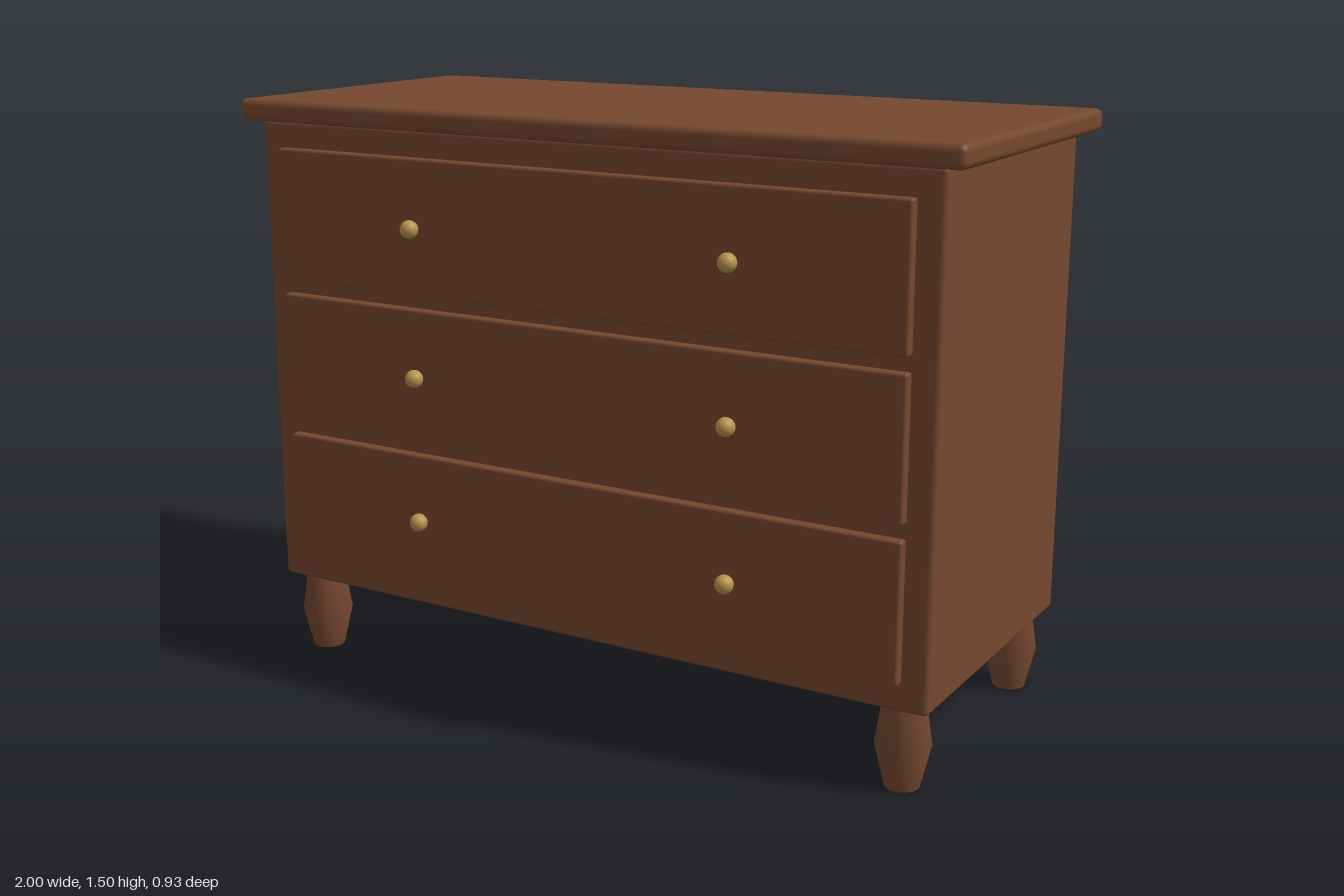
import * as THREE from 'three';
import { RoundedBoxGeometry } from 'three/addons/geometries/RoundedBoxGeometry.js';

export function createModel() {
  const model = new THREE.Group();
  model.name = 'chestOfDrawers';

  const wood = new THREE.MeshStandardMaterial({ color: 0x75482f });
  wood.name = 'brown wood';
  const brass = new THREE.MeshStandardMaterial({ color: 0xb5924c });
  brass.name = 'brass';

  const add = (name, geometry, material, x, y, z) => {
    const mesh = new THREE.Mesh(geometry, material);
    mesh.name = name;
    mesh.position.set(x, y, z);
    model.add(mesh);
  };

  // Box with softened edges, placed by its lower and upper limits
  const roundedBox = (name, halfWidth, y0, y1, z0, z1, radius) =>
    add(name, new RoundedBoxGeometry(halfWidth * 2, y1 - y0, z1 - z0, 3, radius),
      wood, 0, (y0 + y1) / 2, (z0 + z1) / 2);

  // Case and overhanging top
  roundedBox('case', 0.948, 0.21, 1.452, -0.43, 0.4, 0.012);
  roundedBox('top', 1, 1.448, 1.505, -0.465, 0.432, 0.018);

  // Three drawer fronts, each with two round knobs
  const knob = new THREE.SphereGeometry(0.023, 24, 16);
  for (let i = 0; i < 3; i++) {
    const y = 0.45 + i * 0.38;
    roundedBox('drawerFront', 0.882, y - 0.171, y + 0.173, 0.38, 0.425, 0.007);
    for (const side of [-1, 1]) add('knob', knob, brass, side * 0.448, y, 0.442);
  }

  // Turned legs, widest at mid height, with a flat foot
  const legProfile = [
    [0, 0], [0.042, 0], [0.042, 0], [0.067, 0.105], [0.051, 0.215],
  ].map(([r, y]) => new THREE.Vector2(r, y));
  const leg = new THREE.LatheGeometry(legProfile, 32);
  for (const x of [-0.864, 0.864]) {
    for (const z of [-0.362, 0.332]) add(z > 0 ? 'frontLeg' : 'backLeg', leg, wood, x, 0, z);
  }

  return model;
}
